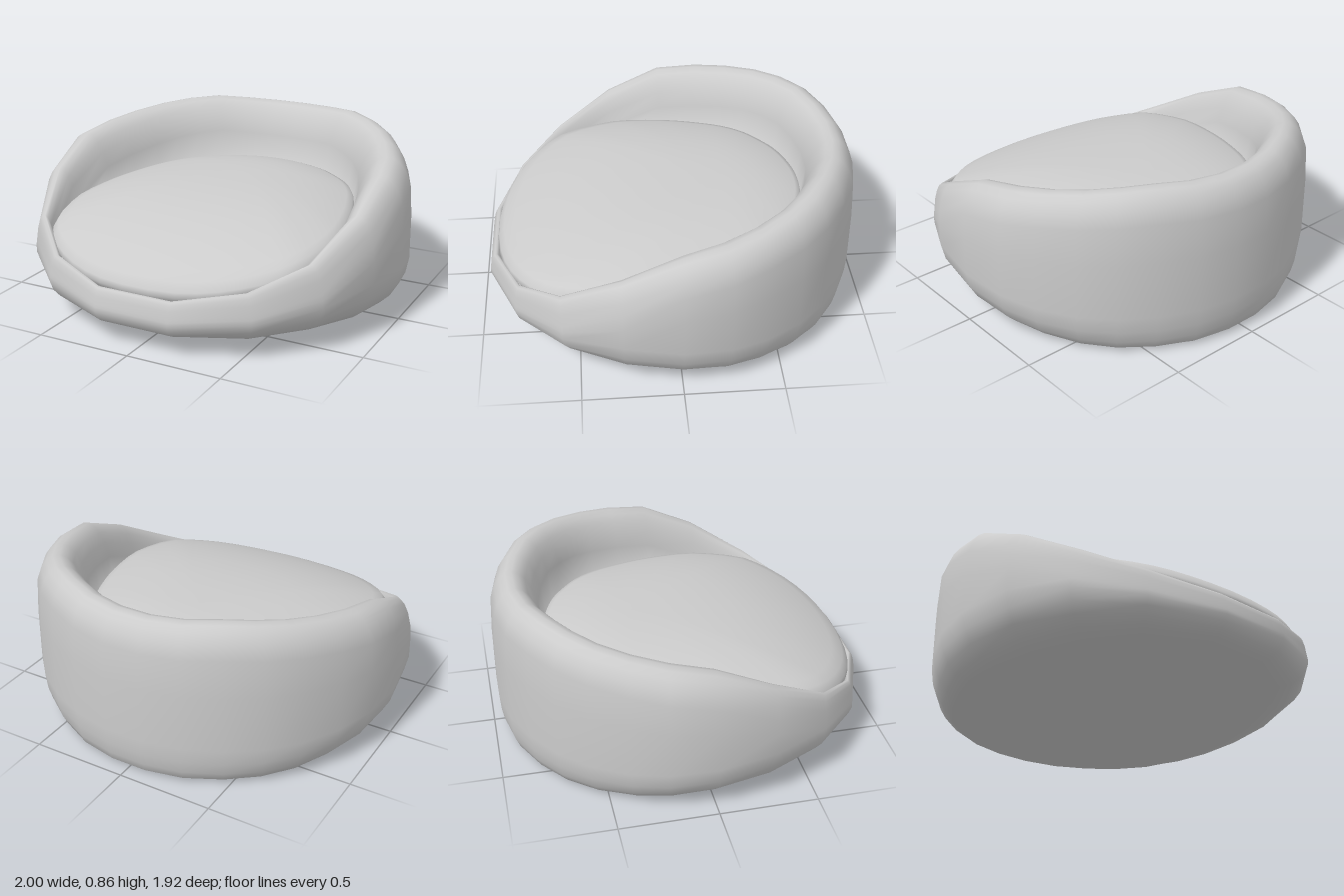
import * as THREE from 'three';

const material = new THREE.MeshStandardMaterial({ color: 0xcccccc, side: THREE.DoubleSide });

// Piecewise linear lookup in [z, value] keys
function lookup(keys, z) {
  if (z <= keys[0][0]) return keys[0][1];
  for (let i = 1; i < keys.length; i++) {
    const [z0, v0] = keys[i - 1], [z1, v1] = keys[i];
    if (z <= z1) return v0 + (v1 - v0) * (z - z0) / (z1 - z0);
  }
  return keys[keys.length - 1][1];
}

const rimHeight = z => lookup([[-0.84, 0.845], [-0.72, 0.862], [-0.4, 0.81], [0, 0.747],
  [0.26, 0.635], [0.44, 0.535], [0.6, 0.445], [0.8, 0.343], [0.93, 0.285]], z);
const baseHeight = z => lookup([[-0.9, 0], [-0.5, 0], [-0.2, 0.02], [0.3, 0.04], [0.6, 0.06], [0.9, 0.085]], z);
// Extra rise of the underside towards its front and side edges
const edgeRise = z => lookup([[-0.4, 0], [0.1, 0.025], [0.6, 0.03], [0.95, 0]], z);
const cushionEdge = z => lookup([[-0.7, 0.52], [-0.3, 0.5], [0, 0.485], [0.28, 0.465],
  [0.58, 0.425], [0.78, 0.37], [0.88, 0.335]], z);
const baseBevel = z => lookup([[-0.95, 0.04], [-0.5, 0.09], [0, 0.12], [0.6, 0.13], [0.95, 0.085]], z);

// Half plan, front to back: outer x, z and inner x, z of each spoke
const half = [
  [0.2, 0.96, 0.2, 0.87], [0.565, 0.815, 0.48, 0.765], [0.82, 0.58, 0.67, 0.58],
  [0.96, 0.29, 0.735, 0.28], [1, 0, 0.7, 0], [0.965, -0.235, 0.65, -0.18],
  [0.89, -0.41, 0.585, -0.34], [0.78, -0.59, 0.51, -0.45], [0.65, -0.73, 0.42, -0.53],
  [0.49, -0.84, 0.32, -0.6], [0.3, -0.925, 0.2, -0.65], [0.1, -0.965, 0.07, -0.68],
];
const spokes = [...half, ...half.map(([a, b, c, d]) => [-a, b, -c, d]).reverse()];

// Closed loft: one list of section points per spoke
function loft(name, sections) {
  const n = sections.length, m = sections[0].length, index = [];
  for (let j = 0; j < n; j++) {
    const k = (j + 1) % n;
    for (let i = 0; i < m - 1; i++) {
      const a = j * m + i, b = k * m + i;
      index.push(a, b, b + 1, a, b + 1, a + 1);
    }
  }
  const geometry = new THREE.BufferGeometry();
  geometry.setAttribute('position', new THREE.Float32BufferAttribute(sections.flat(2), 3));
  geometry.setIndex(index);
  geometry.computeVertexNormals();
  const mesh = new THREE.Mesh(geometry, material);
  mesh.name = name;
  return mesh;
}

// Padded shell: underside, outer wall, rolled rim, inner wall and floor
function shellSection([ox, oz, ix, iz]) {
  const at = (s, y) => [ix + (ox - ix) * s, y, iz + (oz - iz) * s];
  const rise = edgeRise(oz);
  const under = (k, lift) => [ox * k, baseHeight(oz * k) + rise * k * k + lift, oz * k];
  const H = rimHeight(iz + (oz - iz) * 0.55), B = baseHeight(oz) + rise;
  const h = H - B, roll = Math.min(0.18, 0.5 * h), low = Math.min(0.22, 0.42 * h);
  const e = baseBevel(oz), shoulder = H - 0.8 * roll;
  return [
    under(0, 0.012), under(0.4, 0.008), under(0.7, 0), under(1 - 1.5 * e, 0.01 * low),
    under(1 - 0.9 * e, 0.1 * low), under(1 - 0.45 * e, 0.32 * low), under(1 - 0.15 * e, 0.62 * low),
    at(1, B + low), at(0.995, B + low + 0.6 * (shoulder - B - low)),
    at(0.96, shoulder), at(0.88, H - 0.42 * roll), at(0.78, H - 0.17 * roll),
    at(0.67, H - 0.04 * roll), at(0.55, H), at(0.43, H - 0.07 * roll),
    at(0.32, H - 0.25 * roll), at(0.22, H - 0.55 * roll), at(0.12, H - roll),
    at(0, Math.min(cushionEdge(iz) - 0.1, H - roll - 0.02)),
    [0, 0.2, 0.1],
  ];
}

// Cushion domed towards the back, its rolled edge overlapping the low front lip
function cushionSection({ x, z }) {
  const edge = cushionEdge(z), top = 0.598, centre = -0.25, size = 1.035;
  const at = (t, y) => [x * t * size, y, centre + (z * size - centre) * t];
  const points = [at(0.94, edge - 0.1), at(0.985, edge - 0.07), at(1, edge - 0.04), at(0.995, edge - 0.015)];
  for (const t of [0.97, 0.92, 0.85, 0.75, 0.62, 0.48, 0.32, 0.16, 0]) {
    points.push(at(t, top + (edge + 0.01 - top) * t ** 2.7));
  }
  return points;
}

export function createModel() {
  const group = new THREE.Group();
  group.name = 'petBed';
  group.add(loft('paddedShell', spokes.map(shellSection)));
  // Smooth cushion outline along the inner ends of the spokes
  const outline = new THREE.CatmullRomCurve3(spokes.map(([, , x, z]) => new THREE.Vector3(x, 0, z)), true);
  group.add(loft('cushion', outline.getPoints(72).slice(0, -1).map(cushionSection)));
  return group;
}
